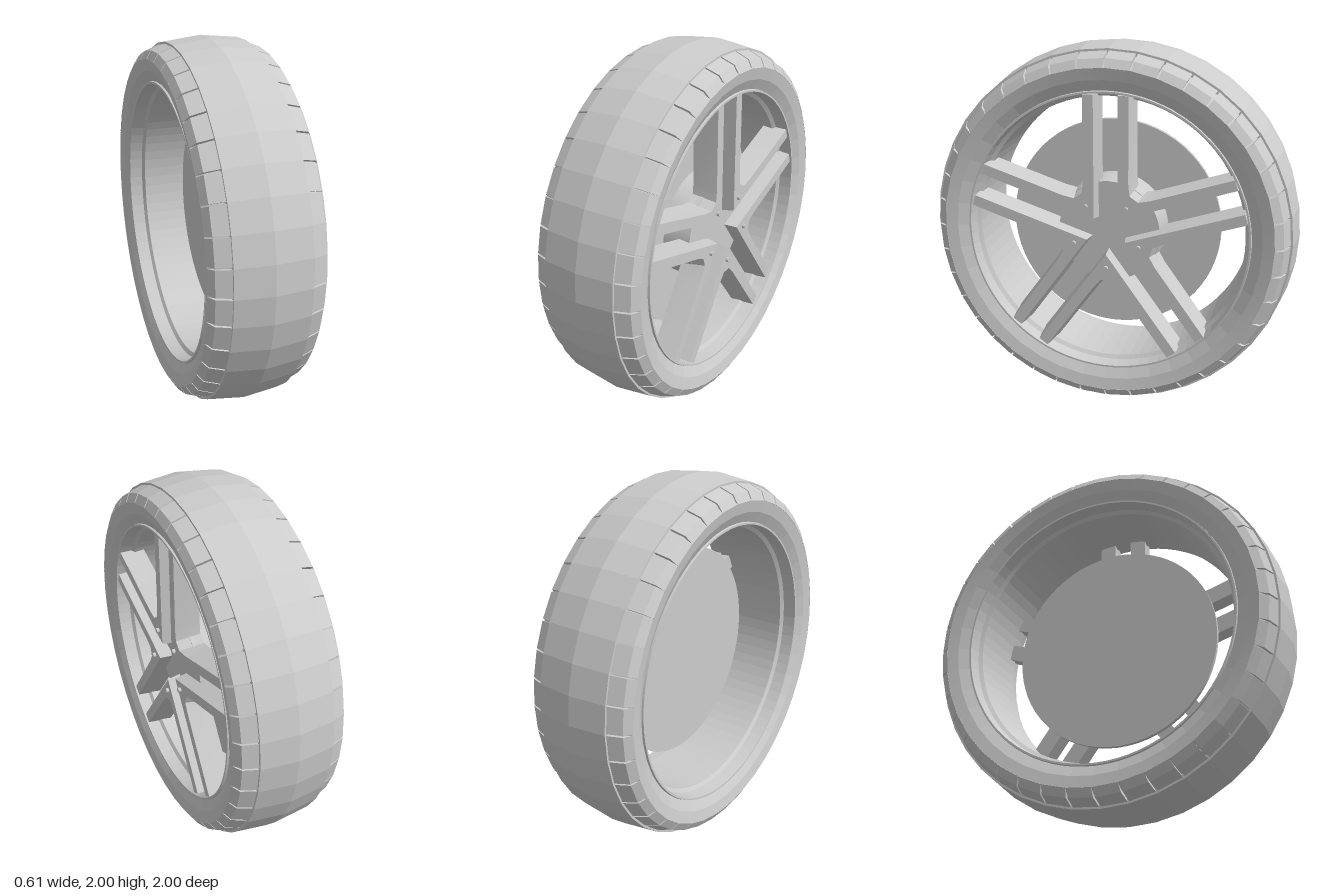
import * as THREE from 'three';
import { toCreasedNormals } from 'three/addons/utils/BufferGeometryUtils.js';

const SEGMENTS = 40;
const grey = new THREE.MeshStandardMaterial({ color: 0xcccccc });
grey.name = 'grey';

// Everything is built around the z axis, outer face towards +z, then turned to face +x.
function part(name, geometry, crease = 0.05) {
  const mesh = new THREE.Mesh(toCreasedNormals(geometry, crease), grey);
  mesh.name = name;
  return mesh;
}

// profile: [radius, axial] pairs, outer surface running towards +z
function ring(name, profile, segments) {
  const points = profile.map(([r, a]) => new THREE.Vector2(r, a));
  return part(name, new THREE.LatheGeometry(points, segments).rotateX(Math.PI / 2));
}

function disc(name, frontRadius, backRadius, z0, z1, segments) {
  const g = new THREE.CylinderGeometry(frontRadius, backRadius, z1 - z0, segments);
  return part(name, g.rotateX(Math.PI / 2).translate(0, 0, (z0 + z1) / 2), 0.3);
}

// One shoulder block with radial end faces
function shoulderBlock(side) {
  const profile = [[0.88, 0.28], [0.92, 0.2], [0.966, 0.2], [0.938, 0.277], [0.893, 0.304]];
  const facet = Math.cos(Math.PI / SEGMENTS);
  const shape = new THREE.Shape(profile.map(([r, a]) => new THREE.Vector2(r * facet, a * side)));
  const g = new THREE.ExtrudeGeometry(shape, { depth: 1, bevelEnabled: false });
  g.translate(0, 0, -0.5);
  const p = g.attributes.position;
  for (let i = 0; i < p.count; i++) p.setZ(i, p.getZ(i) * p.getX(i) * 0.147);
  return g.rotateX(Math.PI / 2);
}

// V outline opening towards +y; near and far are the arm edges' offsets from the radials
function vOutline(near, far) {
  const s = Math.sin(Math.PI / 5), c = Math.cos(Math.PI / 5);
  const at = (t, o, m) => new THREE.Vector2(m * (s * t - c * o), c * t + s * o);
  const tip = 0.748, bend = far / Math.tan(Math.PI / 5) + 0.12;
  const crotch = far / s + 0.05;
  return [
    new THREE.Vector2(0, near / s),
    at(tip, near, 1), at(tip, far, 1), at(bend, far, 1),
    new THREE.Vector2(0.027, crotch), new THREE.Vector2(-0.027, crotch),
    at(bend, far, -1), at(tip, far, -1), at(tip, near, -1),
  ];
}

// V spoke that narrows from back to front
function spokeGeometry() {
  const back = vOutline(0.049, 0.14), front = vOutline(0.065, 0.122);
  const z0 = 0.13, z1 = 0.262;
  const g = new THREE.ExtrudeGeometry(new THREE.Shape(back), { depth: z1 - z0, bevelEnabled: false });
  g.translate(0, 0, z0);
  const p = g.attributes.position, v = new THREE.Vector2();
  for (let i = 0; i < p.count; i++) {
    if (p.getZ(i) < 0.2) continue;
    v.set(p.getX(i), p.getY(i));
    const k = back.findIndex((b) => b.distanceTo(v) < 1e-4);
    if (k >= 0) p.setXY(i, front[k].x, front[k].y);
  }
  return g;
}

export function createModel() {
  const wheel = new THREE.Group();
  wheel.name = 'wheel';

  // Tyre carcass with a raised, slightly crowned tread band
  const half = [[0.768, 0.258], [0.83, 0.29], [0.893, 0.303], [0.92, 0.268], [0.948, 0.2], [0.977, 0.2]];
  const mirrored = half.map(([r, a]) => [r, -a]);
  wheel.add(ring('tyre', [...mirrored, [1, 0], ...half.slice().reverse()], SEGMENTS));

  // Shoulder blocks separated by thin grooves
  for (const side of [1, -1]) {
    const blocks = new THREE.Group();
    blocks.name = side > 0 ? 'outerShoulderBlocks' : 'innerShoulderBlocks';
    const g = shoulderBlock(side);
    for (let i = 0; i < SEGMENTS; i++) {
      const block = part('shoulderBlock', g);
      block.rotation.z = ((i + 0.5) / SEGMENTS) * Math.PI * 2;
      blocks.add(block);
    }
    wheel.add(blocks);
  }

  // Rim barrel with a stepped lip on both sides
  wheel.add(ring('rim', [
    [0.774, 0.255], [0.77, 0.272], [0.76, 0.272], [0.752, 0.2], [0.733, 0.185],
    [0.733, -0.185], [0.752, -0.2], [0.76, -0.272], [0.77, -0.272], [0.774, -0.255],
  ], SEGMENTS * 2));

  // Brake disc and hub
  wheel.add(disc('brakeDisc', 0.585, 0.585, 0.015, 0.04, 64));
  wheel.add(disc('hub', 0.278, 0.295, 0.04, 0.19, 48));

  // Five V-shaped double spokes, each with a bolt
  const spoke = spokeGeometry();
  for (let i = 0; i < 5; i++) {
    const arm = new THREE.Group();
    arm.name = 'doubleSpoke';
    arm.add(part('spoke', spoke, 0.3));
    const bolt = disc('bolt', 0.013, 0.013, 0.25, 0.278, 12);
    bolt.position.y = 0.187;
    arm.add(bolt);
    arm.rotation.z = Math.PI + (i * Math.PI * 2) / 5;
    wheel.add(arm);
  }

  wheel.rotation.y = Math.PI / 2;
  wheel.position.y = 1;
  const model = new THREE.Group();
  model.name = 'carWheel';
  model.add(wheel);
  return model;
}
